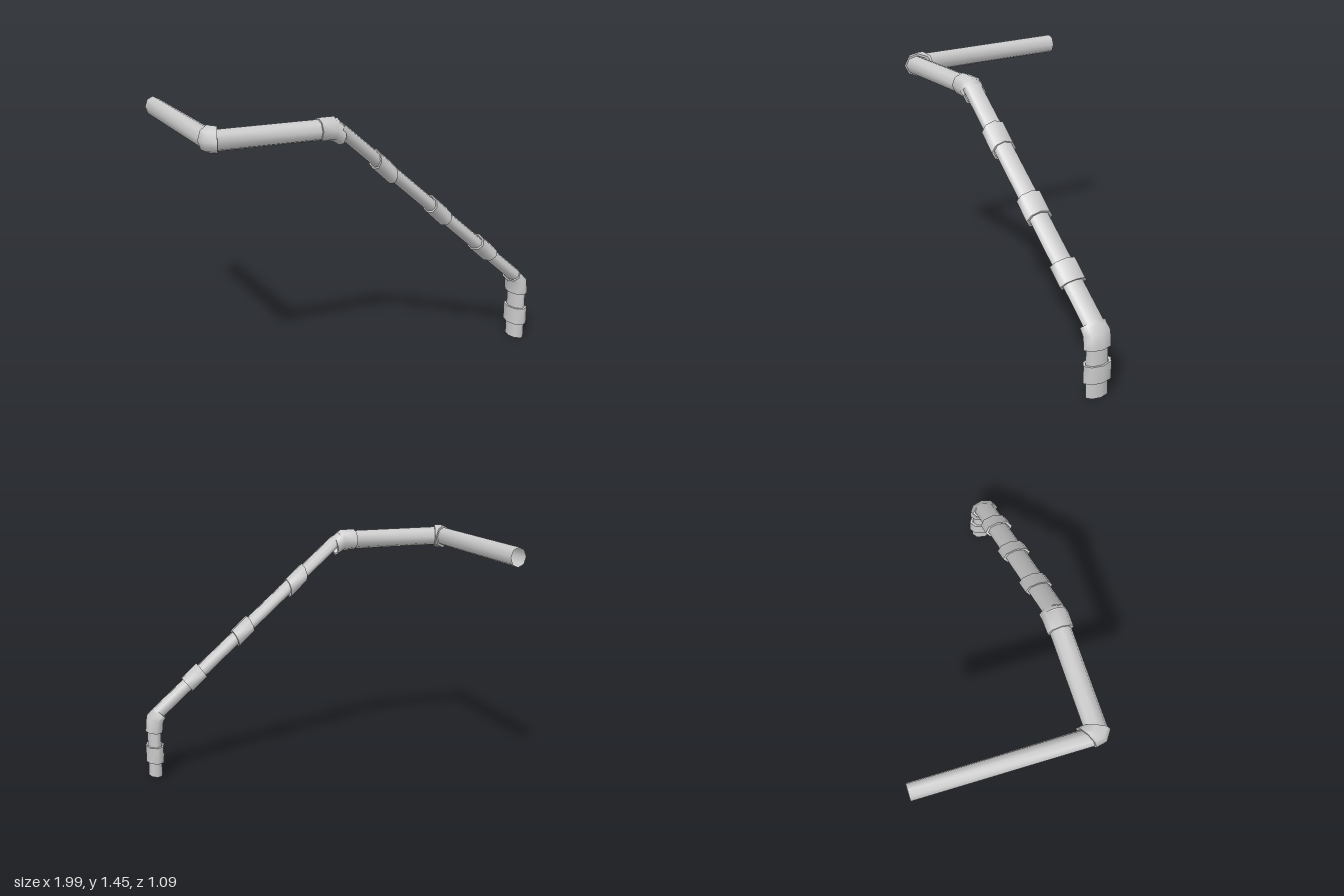
import * as THREE from 'three';

const SIDES = 8;
const material = new THREE.MeshStandardMaterial({ color: 0xcccccc, side: THREE.DoubleSide });
const vec = (x, y, z) => new THREE.Vector3(x, y, z);

// Oval cross-section: a and b are opposite points, w is the other half-axis
const ring = (a, b, w) => ({
  c: a.clone().add(b).multiplyScalar(0.5),
  u: b.clone().sub(a).multiplyScalar(0.5),
  w,
});
// Section seen edge-on from the front, oval depth along z
const frontRing = (ax, ay, bx, by, rz, z = 0.455) => ring(vec(ax, ay, z), vec(bx, by, z), vec(0, 0, rz));
// Section seen edge-on from the top, oval height along y
const topRing = (ax, az, bx, bz, ry) => ring(vec(ax, 1.38, az), vec(bx, 1.38, bz), vec(0, ry, 0));
const shrink = (r, s) => ({ c: r.c, u: r.u.clone().multiplyScalar(s), w: r.w.clone().multiplyScalar(s) });

// Smooth skin through a list of sections
function skin(name, rings) {
  const pos = [], index = [];
  const dir = rings[rings.length - 1].c.clone().sub(rings[0].c);
  const sign = rings[0].u.clone().cross(rings[0].w).dot(dir) < 0 ? -1 : 1;
  rings.forEach((r, k) => {
    for (let i = 0; i < SIDES; i++) {
      const t = (i / SIDES) * Math.PI * 2;
      const p = r.c.clone().addScaledVector(r.u, Math.cos(t)).addScaledVector(r.w, sign * Math.sin(t));
      pos.push(p.x, p.y, p.z);
      if (k === 0) continue;
      const j = (i + 1) % SIDES, lo = (k - 1) * SIDES, hi = k * SIDES;
      index.push(lo + i, lo + j, hi + j, lo + i, hi + j, hi + i);
    }
  });
  const geo = new THREE.BufferGeometry();
  geo.setAttribute('position', new THREE.Float32BufferAttribute(pos, 3));
  geo.setIndex(index);
  geo.computeVertexNormals();
  const mesh = new THREE.Mesh(geo, material);
  mesh.name = name;
  return mesh;
}

// Fitting: outer sleeve plus narrow rims closing onto the pipe
function fitting(name, rings) {
  const group = new THREE.Group();
  group.name = name;
  const first = rings[0], last = rings[rings.length - 1];
  group.add(skin('sleeve', rings));
  for (const end of [first, last]) {
    const inner = shrink(end, 0.8), pos = [], index = [];
    for (const r of [end, inner]) {
      for (let i = 0; i < SIDES; i++) {
        const t = (i / SIDES) * Math.PI * 2;
        const p = r.c.clone().addScaledVector(r.u, Math.cos(t)).addScaledVector(r.w, Math.sin(t));
        pos.push(p.x, p.y, p.z);
      }
    }
    for (let i = 0; i < SIDES; i++) {
      const j = (i + 1) % SIDES;
      index.push(i, j, SIDES + j, i, SIDES + j, SIDES + i);
    }
    const geo = new THREE.BufferGeometry();
    geo.setAttribute('position', new THREE.Float32BufferAttribute(pos, 3));
    geo.setIndex(index);
    geo.computeVertexNormals();
    const rim = new THREE.Mesh(geo, material);
    rim.name = 'rim';
    group.add(rim);
  }
  return group;
}

export function createModel() {
  const model = new THREE.Group();
  model.name = 'bentPipe';

  // Straight pipe lengths, open at both free ends
  model.add(
    skin('uprightPipe', [frontRing(0.898, 0, 0.982, 0, 0.07, 0.458), frontRing(0.898, 0.34, 0.982, 0.34, 0.07, 0.458)]),
    skin('slopingPipe', [frontRing(0.895, 0.355, 0.945, 0.412, 0.066), frontRing(-0.26, 1.355, -0.213, 1.41, 0.061)]),
    skin('levelPipe', [frontRing(-0.24, 1.322, -0.24, 1.436, 0.06, 0.45), frontRing(-0.92, 1.322, -0.92, 1.436, 0.06, 0.45)]),
    skin('backPipe', [topRing(-0.986, 0.44, -0.884, 0.4, 0.057), topRing(-0.984, -0.55, -0.888, -0.55, 0.057)]),
  );

  // Collars: lower-left point and upper-right point of each end section
  const collars = [
    [[0.885, 0.09, 0.995, 0.09], [0.885, 0.19, 0.995, 0.19], 0.088],
    [[0.61, 0.59, 0.665, 0.672], [0.7, 0.51, 0.76, 0.588], 0.085],
    [[0.31, 0.85, 0.345, 0.945], [0.405, 0.762, 0.44, 0.86], 0.083],
    [[-0.028, 1.135, -0.01, 1.247], [0.074, 1.043, 0.09, 1.155], 0.078],
  ];
  collars.forEach(([a, b, rz], i) =>
    model.add(fitting('collar' + (i + 1), [frontRing(...a, rz), frontRing(...b, rz)])));

  // Elbows at the three bends
  model.add(
    fitting('lowerElbow', [
      frontRing(0.887, 0.28, 0.993, 0.28, 0.086),
      frontRing(0.88, 0.345, 0.985, 0.37, 0.086),
      frontRing(0.87, 0.36, 0.93, 0.42, 0.082),
    ]),
    fitting('upperElbow', [
      frontRing(-0.35, 1.32, -0.35, 1.445, 0.072, 0.45),
      frontRing(-0.27, 1.313, -0.26, 1.445, 0.074, 0.45),
      frontRing(-0.228, 1.288, -0.213, 1.405, 0.074, 0.45),
    ]),
    fitting('cornerElbow', [
      topRing(-0.995, 0.42, -0.868, 0.352, 0.07),
      topRing(-0.982, 0.48, -0.87, 0.358, 0.072),
      topRing(-0.925, 0.52, -0.868, 0.365, 0.07),
    ]),
  );
  return model;
}
